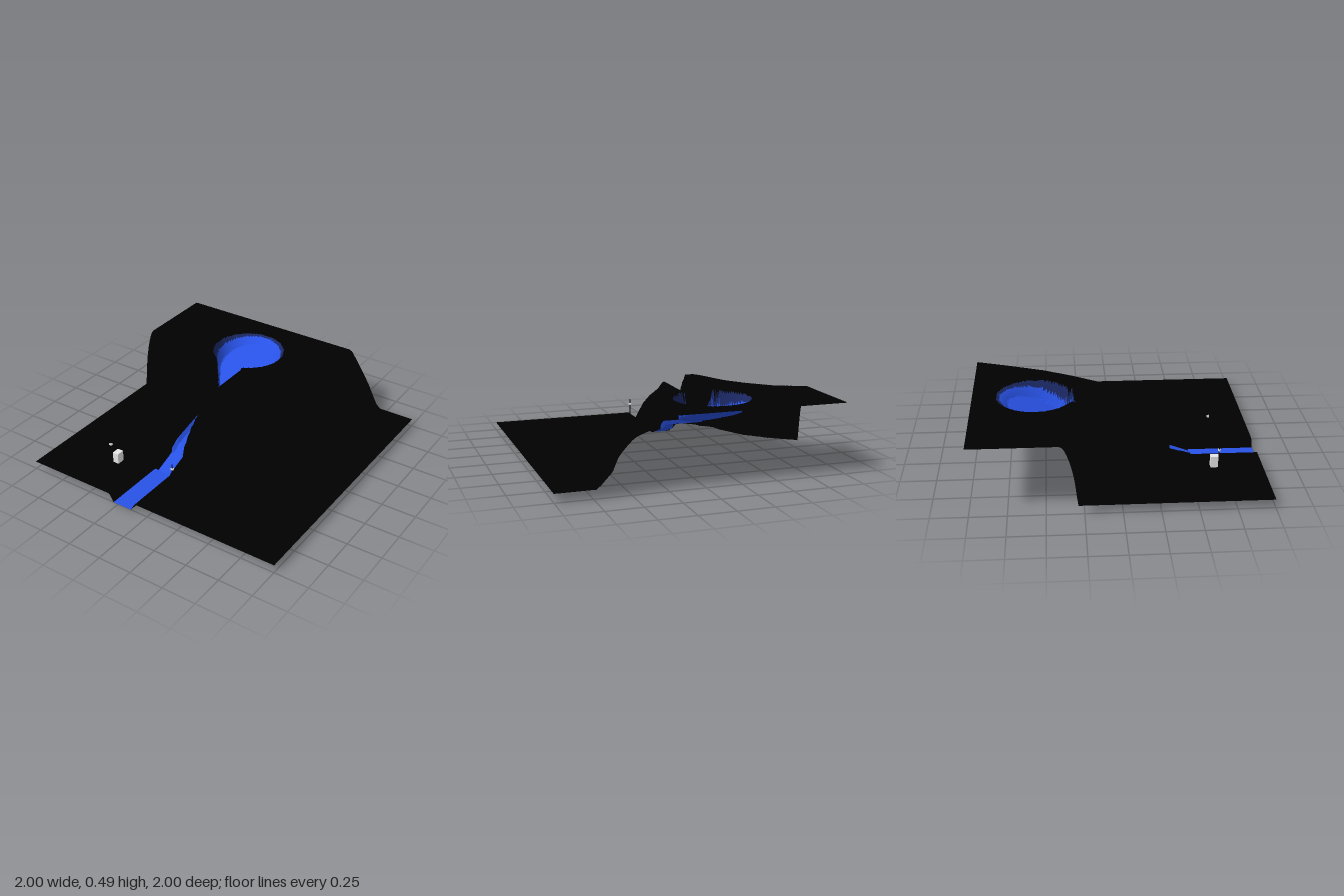
import * as THREE from 'three';

const PLAIN = 0.06, TOP = 0.49, STREAM_X = -0.21, RIVER_X = -0.215, RIVER_START = 0.525;
const clamp = (v) => Math.min(1, Math.max(0, v));
const lerp = THREE.MathUtils.lerp;

// Piecewise linear curve through [input, output] pairs
function curve(points, v) {
  if (v <= points[0][0]) return points[0][1];
  for (let i = 1; i < points.length; i++) {
    const [a, p] = points[i - 1], [b, q] = points[i];
    if (v <= b) return lerp(p, q, (v - a) / (b - a));
  }
  return points[points.length - 1][1];
}

// Cliff lines of the plateau: [z, x]
const LEFT_FOOT = [[-1, -4], [-0.42, -1.7], [-0.29, -1], [-0.15, -0.82], [0, -0.68], [0.2, -0.58], [0.3, -0.56], [0.37, -0.48]];
const LEFT_TOP = [[-1, -3], [-0.41, -1], [-0.3, -0.78], [-0.15, -0.63], [0, -0.53], [0.2, -0.45], [0.37, -0.36], [0.41, 1]];
const RIGHT_FOOT = [[-1, 0.73], [-0.75, 0.58], [-0.5, 0.48], [-0.3, 0.38], [-0.1, 0.27], [0.1, 0.15], [0.2, 0.08], [0.33, -0.06], [0.37, 0.07]];
const RIGHT_TOP = [[-1, 0.43], [-0.75, 0.34], [-0.5, 0.24], [-0.3, 0.13], [-0.1, 0], [0.1, -0.1], [0.2, -0.15], [0.33, -0.27], [0.41, -1.5]];
// Cliff slopes: [fraction, height]
const SIDE_SLOPE = [[0, PLAIN], [0.12, 0.09], [0.4, 0.25], [0.75, 0.41], [0.92, 0.48], [1, TOP]];
const FRONT_SLOPE = [[0.29, TOP], [0.3, 0.48], [0.33, 0.41], [0.37, 0.09], [0.53, PLAIN]];
// Stream bed: [z, height]
const BED = [[-0.3, 0.26], [0.3, 0.11], [0.37, 0.06], [0.53, 0]];

// Plateau and plain before any water is cut in
function land(x, z) {
  const lf = curve(LEFT_FOOT, z), lt = curve(LEFT_TOP, z);
  const rf = curve(RIGHT_FOOT, z), rt = curve(RIGHT_TOP, z);
  const t = Math.min(clamp((x - lf) / (lt - lf)), clamp((rf - x) / (rf - rt)));
  return Math.min(curve(SIDE_SLOPE, t), curve(FRONT_SLOPE, z));
}

// 0 in the middle of the lake, 1 on its shore, including the outlet funnel
function lakeRadius(x, z) {
  const r = Math.hypot(x + 0.205, z + 0.565) / 0.267;
  if (z < -0.38 || z > -0.24) return r;
  return Math.min(r, Math.abs(x - STREAM_X) / lerp(0.17, 0.05, (z + 0.38) / 0.14));
}

// The bed drops toward the outlet, where the banks are steepest
function lakeBed(x, z) {
  const s = clamp((z + 0.82) / 0.52);
  return lerp(TOP, lerp(0.46, 0.27, s), clamp((1 - lakeRadius(x, z)) / lerp(0.3, 0.12, s)));
}

// Gorge through the plateau, short ramp below it, then a wide shallow river
function channel(x, z) {
  if (z < -0.3) return Infinity;
  const bed = curve(BED, z), d = Math.abs(x - STREAM_X);
  if (z > RIVER_START) return bed + PLAIN * clamp((Math.abs(x - RIVER_X) - 0.075) / 0.035);
  if (z > 0.365) return bed + PLAIN * clamp((d - 0.05) / 0.05);
  const lip = bed + 0.03;
  if (d <= 0.05) return lerp(bed, lip, clamp((d - 0.03) / 0.02));
  return lerp(lip, TOP, (d - 0.05) / 0.07);
}

// Colour slot of a spot: 0 ground, 1 water, 2 shore
function zone(x, z) {
  if (z > RIVER_START) return Math.abs(x - RIVER_X) < 0.075 ? 1 : 0;
  if (z > -0.26 && Math.abs(x - STREAM_X) < 0.05) return 1;
  const r = lakeRadius(x, z);
  return r < 0.92 ? 1 : r < 1 ? 2 : 0;
}

function terrainGeometry() {
  const geo = new THREE.PlaneGeometry(2, 2, 200, 200).rotateX(-Math.PI / 2);
  const pos = geo.attributes.position;
  for (let i = 0; i < pos.count; i++) {
    const x = pos.getX(i), z = pos.getZ(i);
    pos.setY(i, Math.min(land(x, z), lakeBed(x, z), channel(x, z)));
  }
  // Sort the grid cells into one group per colour
  const sorted = [[], [], []], index = geo.index.array;
  for (let i = 0; i < index.length; i += 6) {
    const corner = index[i];
    sorted[zone(pos.getX(corner) + 0.005, pos.getZ(corner) + 0.005)].push(...index.slice(i, i + 6));
  }
  geo.setIndex(sorted.flat());
  let start = 0;
  sorted.forEach((list, slot) => {
    geo.addGroup(start, list.length, slot);
    start += list.length;
  });
  geo.computeVertexNormals();
  return geo;
}

export function createModel() {
  const material = (name, color, extra = {}) => {
    const m = new THREE.MeshStandardMaterial({ color, ...extra });
    m.name = name;
    return m;
  };
  const open = { side: THREE.DoubleSide, flatShading: true };
  const ground = material('black ground', 0x000000, open);
  const water = material('blue water', 0x2852e6, open);
  const shore = material('dark blue shore', 0x1a2762, open);
  const grey = material('light grey', 0xe6e6e6);

  const model = new THREE.Group();
  const add = (parent, name, geo, mat, x, y, z) => {
    const mesh = new THREE.Mesh(geo, mat);
    mesh.name = name;
    mesh.position.set(x, y, z);
    parent.add(mesh);
  };

  // Land with lake, gorge and river
  add(model, 'terrain', terrainGeometry(), [ground, water, shore], 0, 0, 0);

  // Small hut on the plain
  add(model, 'hut', new THREE.BoxGeometry(0.046, 0.084, 0.058), grey, -0.513, 0.098, 0.665);

  // Two thin posts with a pale collar
  for (const x of [-0.553, -0.014]) {
    const post = new THREE.Group();
    post.name = 'post';
    add(post, 'pole', new THREE.BoxGeometry(0.006, 0.18, 0.006), ground, 0, 0.15, 0);
    add(post, 'collar', new THREE.BoxGeometry(0.02, 0.012, 0.016), grey, 0, 0.203, 0);
    post.position.set(x, 0, 0.688);
    model.add(post);
  }
  return model;
}
